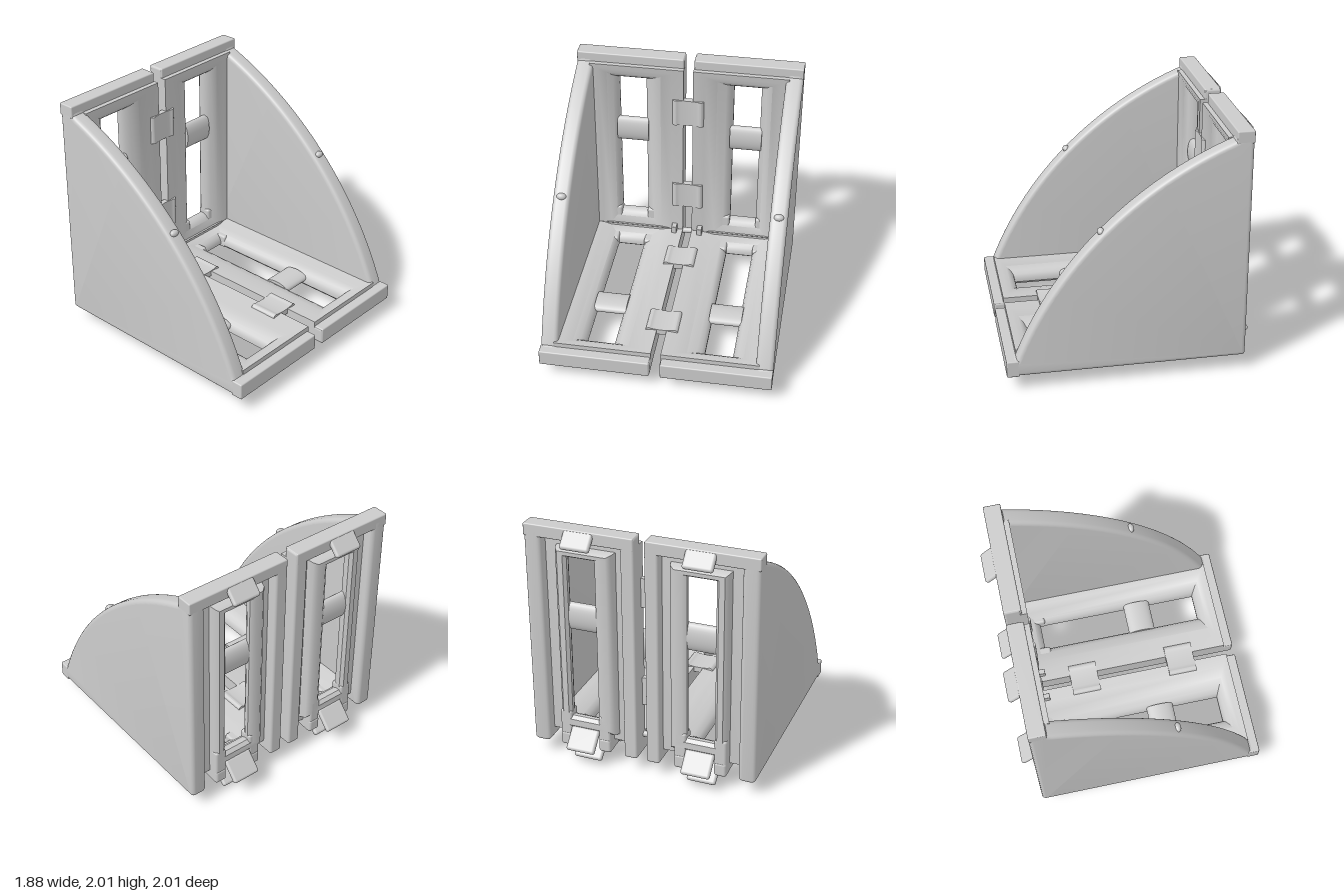
import * as THREE from 'three';
import { toCreasedNormals } from 'three/addons/utils/BufferGeometryUtils.js';
import { RoundedBoxGeometry } from 'three/addons/geometries/RoundedBoxGeometry.js';

const material = new THREE.MeshStandardMaterial({ color: 0xcccccc });
const lerp = THREE.MathUtils.lerp;

// outside corner of the bracket; plates use z = distance from it, y = height
const CORNER = [0, 0.115, -0.89];
const LENGTH = 1.89;

function add(group, name, geometry, x = 0, y = 0, z = 0) {
  const mesh = new THREE.Mesh(geometry, material);
  mesh.name = name;
  mesh.position.set(x, y, z);
  group.add(mesh);
  return mesh;
}

function roundedBox(group, name, [x0, x1], [y0, y1], [z0, z1], r = 0.02) {
  const geometry = new RoundedBoxGeometry(x1 - x0, y1 - y0, z1 - z0, 3, r);
  return add(group, name, geometry, (x0 + x1) / 2, (y0 + y1) / 2, (z0 + z1) / 2);
}

// span on the left (+1) or right (-1) side
const span = (s, a, b) => (s > 0 ? [a, b] : [-b, -a]);

// Mitred frame: a closed section (t, height) carried round the slot,
// t = 0 on the slot edge and t = 1 on the outer edge
function frameGeometry(slotX, outerX, slotZ, outerZ) {
  const section = [
    [0, 0.03], [0, 0.06], [0.06, 0.095], [0.18, 0.12], [0.4, 0.145], [0.7, 0.165], [1, 0.175],
    [1, 0.09], [0.45, 0.085], [0.4, 0.03], [0.3, 0.005], [0.1, 0.005],
  ];
  const corners = [[0, 0], [1, 0], [1, 1], [0, 1]];
  const point = (i, c) => {
    const [t, y] = section[i % section.length];
    const [cx, cz] = corners[c % 4];
    const z = lerp(slotZ[cz], outerZ[cz], t);
    return [lerp(slotX[cx], outerX[cx], t), y, Math.max(z, y)];
  };
  const positions = [];
  for (let i = 0; i < section.length; i++) {
    for (let c = 0; c < 4; c++) {
      const [p, q, r, s] = [point(i, c), point(i, c + 1), point(i + 1, c + 1), point(i + 1, c)];
      positions.push(...p, ...q, ...r, ...p, ...r, ...s);
    }
  }
  const geometry = new THREE.BufferGeometry();
  geometry.setAttribute('position', new THREE.Float32BufferAttribute(positions, 3));
  return toCreasedNormals(geometry, 0.7);
}

// Low arched strip joining the two halves
function linkGeometry(length) {
  const shape = new THREE.Shape();
  shape.moveTo(-0.14, 0.13);
  shape.lineTo(0.14, 0.13);
  shape.lineTo(0.13, 0.175);
  shape.quadraticCurveTo(0.11, 0.2, 0.09, 0.185);
  shape.quadraticCurveTo(0, 0.17, -0.09, 0.185);
  shape.quadraticCurveTo(-0.11, 0.2, -0.13, 0.175);
  const geometry = new THREE.ExtrudeGeometry(shape, { depth: length, bevelEnabled: false, curveSegments: 8 });
  return toCreasedNormals(geometry, 0.6);
}

function hook(group, name, x, y, z, length) {
  const mesh = add(group, name, new RoundedBoxGeometry(0.24, 0.045, length, 3, 0.02), x, y, z);
  mesh.rotation.x = -0.75;
}

// One flange with both halves, lying flat
function makePlate(name) {
  const plate = new THREE.Group();
  plate.name = name;
  for (const s of [1, -1]) {
    add(plate, 'slotFrame', frameGeometry(
      span(s, 0.37, 0.6), span(s, 0.04, 0.83), [0.275, 1.655], [0, 1.81]));
    roundedBox(plate, 'innerRib', span(s, 0.04, 0.15), [0, 0.13], [0, LENGTH]);
    roundedBox(plate, 'endLip', span(s, 0.045, 0.94), [0, 0.135], [1.79, LENGTH], 0.01);
    // slot ribs carried on to the corner
    roundedBox(plate, 'cornerRib', span(s, 0.27, 0.37), [0.005, 0.12], [0, 0.32]);
    roundedBox(plate, 'cornerRib', span(s, 0.6, 0.7), [0.005, 0.12], [0, 0.32]);

    // rounded bar across the slot
    const bar = new THREE.CylinderGeometry(0.115, 0.115, 0.27, 28);
    bar.rotateZ(Math.PI / 2);
    bar.scale(1, 0.42, 1);
    add(plate, 'slotBridge', bar, s * 0.485, 0.075, 1.145);

    hook(plate, 'cornerHook', s * 0.485, -0.04, 0.105, 0.2);
    hook(plate, 'endHook', s * 0.485, -0.025, 1.82, 0.16);
    roundedBox(plate, 'stop', span(s, 0.09, 0.135), [0.15, 0.23], [0.15, 0.23], 0.005);
  }
  for (const z of [0.435, 1.285]) add(plate, 'hingeLink', linkGeometry(0.24), 0, 0, z);
  return plate;
}

// Side gusset with a curved free edge
function wallGeometry() {
  const bevel = 0.035;
  const width = 0.14;
  const shape = new THREE.Shape();
  shape.moveTo(0.03, 0);
  shape.lineTo(1.84, 0);
  shape.lineTo(1.84, 0.13);
  shape.absarc(-0.975, -0.975, 3, 0.381, Math.PI / 2 - 0.381, false);
  shape.lineTo(0.13, 1.84);
  shape.lineTo(0, 1.84);
  shape.lineTo(0, 0.03);
  shape.quadraticCurveTo(0, 0, 0.03, 0);
  const geometry = new THREE.ExtrudeGeometry(shape, {
    depth: width - 2 * bevel, bevelThickness: bevel, bevelSize: bevel,
    bevelOffset: -bevel, bevelSegments: 4, curveSegments: 32,
  });
  geometry.translate(0, 0, bevel - width / 2);
  geometry.rotateY(-Math.PI / 2);
  return toCreasedNormals(geometry, 0.6);
}

export function createModel() {
  const model = new THREE.Group();
  model.name = 'cornerBracket';

  const body = new THREE.Group();
  body.name = 'body';
  body.position.set(...CORNER);
  model.add(body);

  // floor flange, and the same flange turned up as the back
  body.add(makePlate('floorPlate'));
  const back = makePlate('backPlate');
  back.quaternion.setFromAxisAngle(new THREE.Vector3(0, 1, 1).normalize(), Math.PI);
  body.add(back);

  for (const s of [1, -1]) {
    add(body, 'sideWall', wallGeometry(), s * 0.87, 0, 0);
    // small nub on the curved edge
    const nub = new THREE.SphereGeometry(0.04, 16, 12);
    nub.scale(1, 0.7, 0.7);
    add(body, 'edgeNub', nub, s * 0.87, 1.145, 1.145);
  }

  // thin rod joining the halves in the inner corner
  const rod = new THREE.CylinderGeometry(0.025, 0.025, 0.2, 16);
  rod.rotateZ(Math.PI / 2);
  add(body, 'cornerRod', rod, 0, 0.155, 0.155);

  return model;
}
